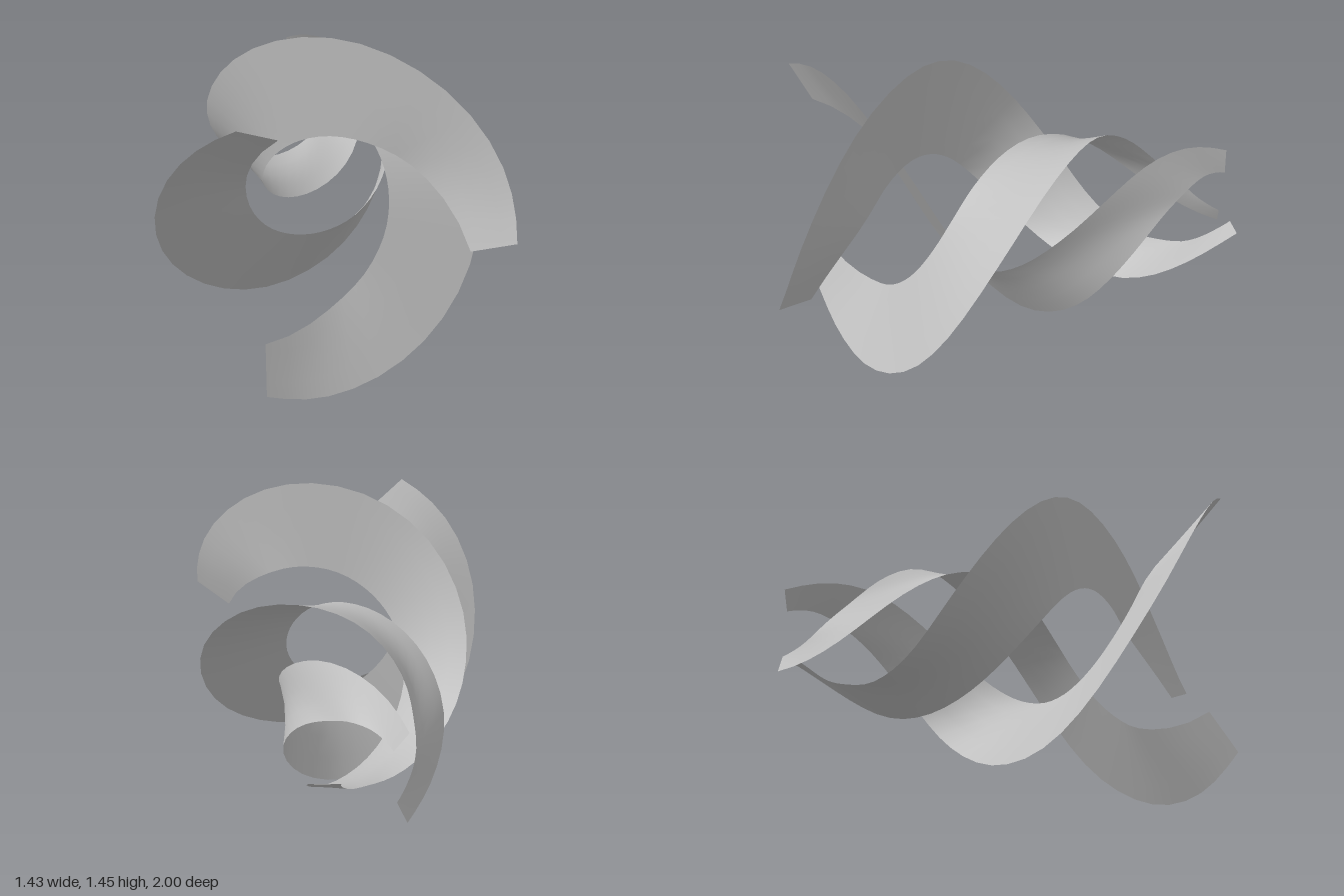
import * as THREE from 'three';

// Edge curves of one ribbon as (angle in degrees, radius, z), wound about the z axis
const edge = (start, end, points) =>
  new THREE.CatmullRomCurve3(
    points.map(([r, z], i) => {
      const last = points.length - 1;
      const angle = i === 0 ? start : i === last ? end : i * 30;
      return new THREE.Vector3(angle, r, z);
    }), false, 'catmullrom', 0.5);

// Edge that starts wide at the front and ends closest to the axis
const sweepEdge = edge(4.4, 356, [
  [0.695, 1], [0.726, 0.87], [0.737, 0.68], [0.728, 0.45], [0.682, 0.22],
  [0.595, -0.015], [0.49, -0.225], [0.39, -0.395], [0.293, -0.555],
  [0.215, -0.69], [0.182, -0.8], [0.157, -0.895], [0.137, -0.99],
]);

// Edge that hugs the axis in the middle and crosses to the outside at the back
const coreEdge = edge(-4, 360, [
  [0.535, 0.89], [0.414, 0.665], [0.336, 0.55], [0.29, 0.45], [0.264, 0.36],
  [0.26, 0.275], [0.276, 0.18], [0.304, 0.05], [0.332, -0.115],
  [0.352, -0.315], [0.349, -0.53], [0.304, -0.76], [0.238, -1],
]);

function onCurve(curve, t) {
  const p = curve.getPoint(t);
  const a = THREE.MathUtils.degToRad(p.x);
  return new THREE.Vector3(p.y * Math.cos(a), p.y * Math.sin(a), p.z);
}

// Ruled strip between the two edges
function ribbonGeometry(lengthSegments = 40, widthSegments = 4) {
  const geometry = new THREE.PlaneGeometry(1, 1, widthSegments, lengthSegments);
  const { position, uv } = geometry.attributes;
  for (let i = 0; i < position.count; i++) {
    const t = 1 - uv.getY(i);
    const p = onCurve(sweepEdge, t).lerp(onCurve(coreEdge, t), uv.getX(i));
    position.setXYZ(i, p.x, p.y, p.z);
  }
  geometry.computeVertexNormals();
  return geometry;
}

export function createModel() {
  const model = new THREE.Group();
  model.name = 'tripleSpiral';
  const grey = new THREE.MeshStandardMaterial({ color: 0xc0c0c0, side: THREE.DoubleSide });
  grey.name = 'light grey';

  // Three identical ribbons, a third of a turn apart
  const geometry = ribbonGeometry();
  ['rightRibbon', 'upperRibbon', 'lowerRibbon'].forEach((name, i) => {
    const ribbon = new THREE.Mesh(geometry, grey);
    ribbon.name = name;
    ribbon.position.set(0.02, 0.728, 0);
    ribbon.rotation.z = (i * Math.PI * 2) / 3;
    model.add(ribbon);
  });
  return model;
}
